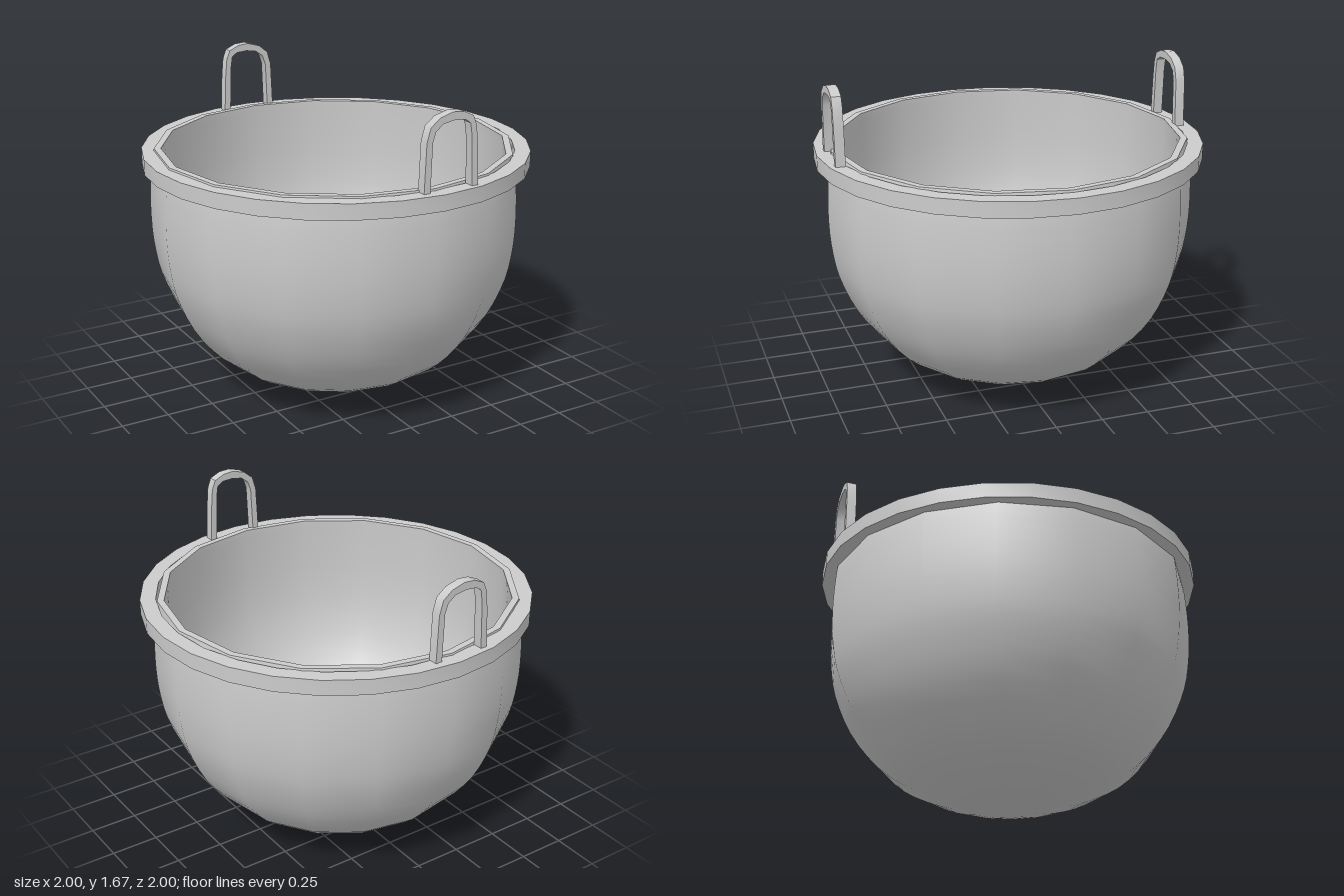
import * as THREE from 'three';
import { toCreasedNormals } from 'three/addons/utils/BufferGeometryUtils.js';

const material = new THREE.MeshStandardMaterial({ color: 0xcccccc });
const vectors = (pairs) => pairs.map(([x, y]) => new THREE.Vector2(x, y));

function addPart(parent, name, geometry, crease) {
  const mesh = new THREE.Mesh(toCreasedNormals(geometry, crease), material);
  mesh.name = name;
  parent.add(mesh);
  return mesh;
}

// Smooth profile through a few points
const smoothProfile = (pairs, count) => new THREE.SplineCurve(vectors(pairs)).getPoints(count);

// Bent flat strap standing on the rim, slightly skewed to one side
function handleGeometry() {
  const outer = [[-0.09, 1.29], [-0.08, 1.55], [-0.06, 1.62], [-0.01, 1.66], [0.06, 1.68],
    [0.12, 1.675], [0.175, 1.65], [0.195, 1.6], [0.205, 1.5], [0.215, 1.29]];
  const inner = [[0.18, 1.29], [0.17, 1.55], [0.16, 1.615], [0.13, 1.635], [0.07, 1.64],
    [0.01, 1.63], [-0.03, 1.6], [-0.047, 1.55], [-0.055, 1.29]];
  const shape = new THREE.Shape(vectors([...outer, ...inner]));
  return new THREE.ExtrudeGeometry(shape, { depth: 0.05, bevelEnabled: false }).translate(0, 0, 0.9);
}

export function createModel() {
  const model = new THREE.Group();
  model.name = 'pot';

  // Thick-walled round bowl: outside going up, then inside going down
  const outside = smoothProfile([[0, 0.005], [0.2, 0.03], [0.42, 0.095], [0.63, 0.21], [0.8, 0.4],
    [0.905, 0.62], [0.945, 0.81], [0.955, 1.0], [0.945, 1.2], [0.925, 1.32]], 28);
  const inside = smoothProfile([[0.89, 1.32], [0.892, 1.15], [0.888, 0.95], [0.865, 0.75],
    [0.8, 0.54], [0.68, 0.34], [0.5, 0.19], [0.3, 0.095], [0.14, 0.055], [0, 0.04]], 28);
  const bowl = addPart(model, 'bowl', new THREE.LatheGeometry([...outside, ...inside], 16), 0.9);
  bowl.position.x = -0.01;

  // Flat ring around the mouth
  const ring = vectors([[0.92, 1.23], [1, 1.23], [1, 1.31], [0.92, 1.31], [0.92, 1.23]]);
  addPart(model, 'rim', new THREE.LatheGeometry(ring, 28), 0.6);

  // Two handles, the back one turned half way round
  addPart(model, 'frontHandle', handleGeometry(), 0.7);
  const back = addPart(model, 'backHandle', handleGeometry(), 0.7);
  back.rotation.y = Math.PI;
  back.position.x = 0.015;

  return model;
}
